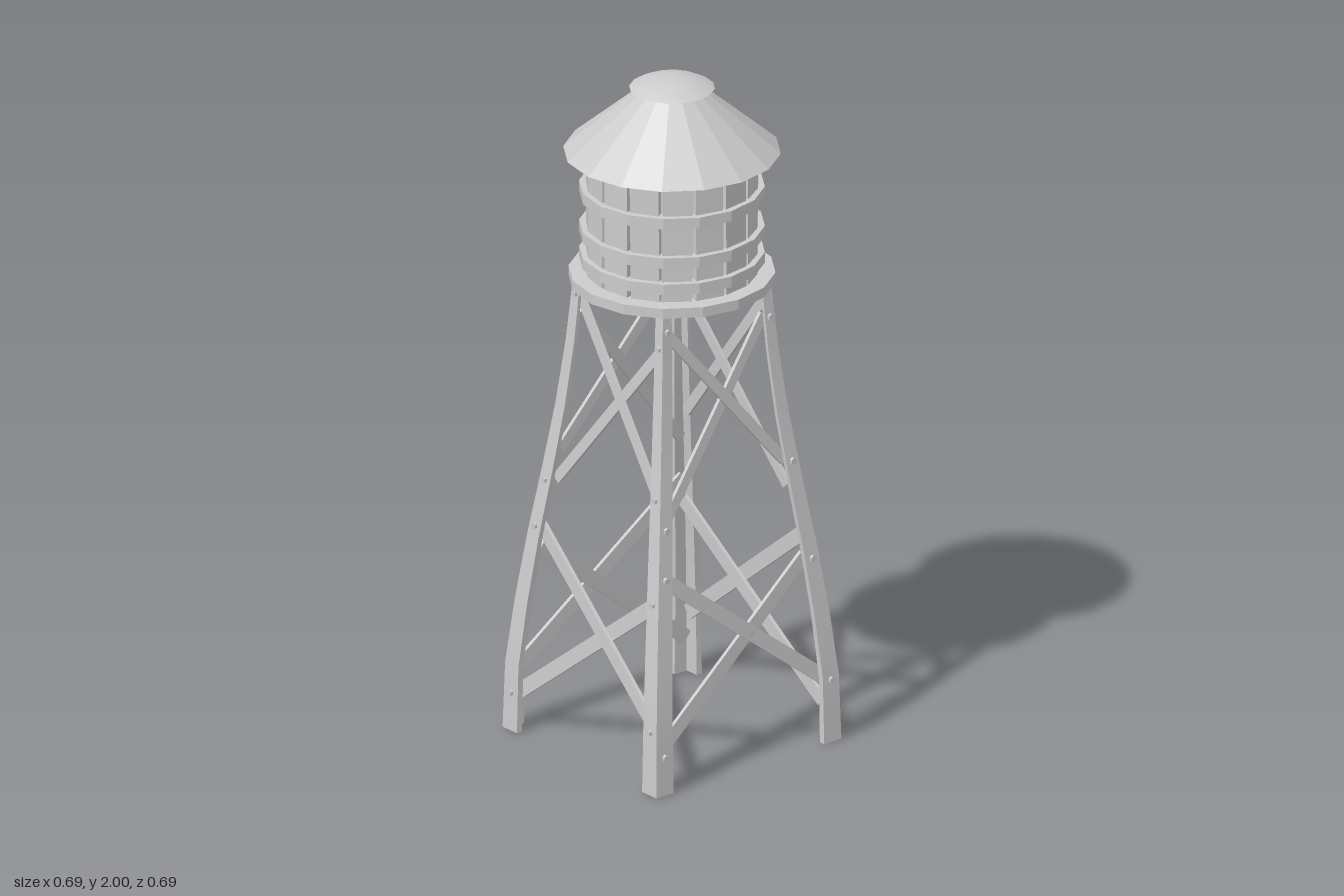
import * as THREE from 'three';
import { toCreasedNormals } from 'three/addons/utils/BufferGeometryUtils.js';

const flat = new THREE.MeshStandardMaterial({ color: 0xcccccc, flatShading: true });
const smooth = new THREE.MeshStandardMaterial({ color: 0xcccccc });
const SIDES = 16;

function add(parent, name, geometry, material = flat) {
  const mesh = new THREE.Mesh(geometry, material);
  mesh.name = name;
  parent.add(mesh);
  return mesh;
}

const lathe = (points) =>
  new THREE.LatheGeometry(points.map(([r, y]) => new THREE.Vector2(r, y)), SIDES);

// Distance of the legs' outer faces from the axis, and the leg width, by height
const LEG_TOP = 1.39;
const LEG_CURVE = [[0, 0.338], [0.2, 0.333], [0.4, 0.313], [0.6, 0.288], [0.8, 0.259],
  [1.0, 0.232], [1.2, 0.211], [LEG_TOP, 0.197]];
function legOuter(y) {
  const i = Math.max(1, LEG_CURVE.findIndex((p) => p[0] >= y));
  const [y0, r0] = LEG_CURVE[i - 1], [y1, r1] = LEG_CURVE[i];
  return THREE.MathUtils.mapLinear(y, y0, y1, r0, r1);
}
const legWidth = (y) => THREE.MathUtils.lerp(0.063, 0.032, y / LEG_TOP);
const FLANGE = 0.3;

// Angle-iron leg: an L section swept up and bent along the leg curve
function legGeometry() {
  const section = new THREE.Shape([[0, 0], [1, 0], [1, FLANGE], [FLANGE, FLANGE], [FLANGE, 1], [0, 1]]
    .map(([s, t]) => new THREE.Vector2(s, t)));
  const geometry = new THREE.ExtrudeGeometry(section, { depth: LEG_TOP, steps: 14, bevelEnabled: false });
  const p = geometry.attributes.position;
  for (let i = 0; i < p.count; i++) {
    const y = Math.min(p.getZ(i), LEG_TOP);
    const outer = legOuter(y), w = legWidth(y);
    p.setXYZ(i, outer - p.getY(i) * w, y, outer - p.getX(i) * w);
  }
  return toCreasedNormals(geometry, 0.4);
}

// Flat bar between two points, its broad side facing +z
function bar(parent, name, a, b, width, thickness) {
  const dir = b.clone().sub(a);
  const length = dir.length();
  dir.normalize();
  const normal = new THREE.Vector3(0, 0, 1).addScaledVector(dir, -dir.z).normalize();
  const across = normal.clone().cross(dir);
  const mesh = add(parent, name, new THREE.BoxGeometry(length, width, thickness));
  mesh.quaternion.setFromRotationMatrix(new THREE.Matrix4().makeBasis(dir, across, normal));
  mesh.position.copy(a).add(b).multiplyScalar(0.5);
}

function bolt(parent, x, y, z) {
  const mesh = add(parent, 'bolt', new THREE.CylinderGeometry(0.01, 0.01, 0.014, 6));
  mesh.rotation.x = Math.PI / 2;
  mesh.position.set(x, y, z);
}

// Braces of one tower face: [x, y] start, [x, y] end, width, layer
const BRACES = [
  [[-0.300, 0.114], [0.265, 0.555], 0.043, 1],
  [[-0.260, 0.625], [0.300, 0.188], 0.043, 0],
  [[-0.225, 0.765], [0.185, 1.285], 0.031, 1],
  [[-0.185, 1.335], [0.215, 0.850], 0.031, 0],
];

function towerSide() {
  const side = new THREE.Group();
  side.name = 'towerSide';
  add(side, 'leg', legGeometry(), smooth);
  for (const [start, end, width, layer] of BRACES) {
    const [a, b] = [start, end].map(([x, y]) =>
      new THREE.Vector3(x, y, legOuter(y) - FLANGE * legWidth(y) - 0.006 - layer * 0.011));
    bar(side, 'crossBrace', a, b, width, 0.011);
    for (const [x, y] of [start, end]) {
      bolt(side, Math.sign(x) * (legOuter(y) - legWidth(y) / 2), y, legOuter(y) + 0.001);
    }
  }
  bolt(side, 0.047, 0.385, 0.288);
  return side;
}

function tank() {
  const group = new THREE.Group();
  group.name = 'tank';

  add(group, 'platform', new THREE.CylinderGeometry(0.292, 0.292, 0.03, SIDES)).position.y = 1.4;
  add(group, 'tankCore', new THREE.CylinderGeometry(0.215, 0.215, 0.37, SIDES)).position.y = 1.6;

  // Slightly crooked wooden staves with gaps between them
  for (let i = 0; i < SIDES; i++) {
    const stave = new THREE.Group();
    stave.rotation.y = ((i + 0.4) / SIDES) * Math.PI * 2;
    const board = add(stave, 'stave', new THREE.BoxGeometry(0.085, 0.38, 0.022));
    board.position.set(0, 1.598, 0.229);
    board.rotation.z = 0.014 * Math.sin(i * 2.3);
    group.add(stave);
  }

  // Hoops
  for (const y of [1.46, 1.54, 1.66]) {
    const h = 0.016;
    add(group, 'hoop', lathe([[0.225, y - h], [0.262, y - h], [0.262, y + h], [0.225, y + h], [0.225, y - h]]));
  }

  // Conical roof and its domed cap
  add(group, 'roof', lathe([[0, 1.778], [0.307, 1.778], [0.088, 1.965], [0, 1.965]]));
  const cap = lathe([[0, 1.957], [0.085, 1.957], [0.121, 1.969], [0.09, 1.985], [0.05, 1.996], [0, 2.0]]);
  add(group, 'roofCap', toCreasedNormals(cap, 0.5), smooth);
  return group;
}

export function createModel() {
  const model = new THREE.Group();
  model.name = 'waterTower';
  for (let k = 0; k < 4; k++) {
    const side = towerSide();
    side.rotation.y = (k * Math.PI) / 2;
    model.add(side);
  }
  model.add(tank());
  return model;
}
